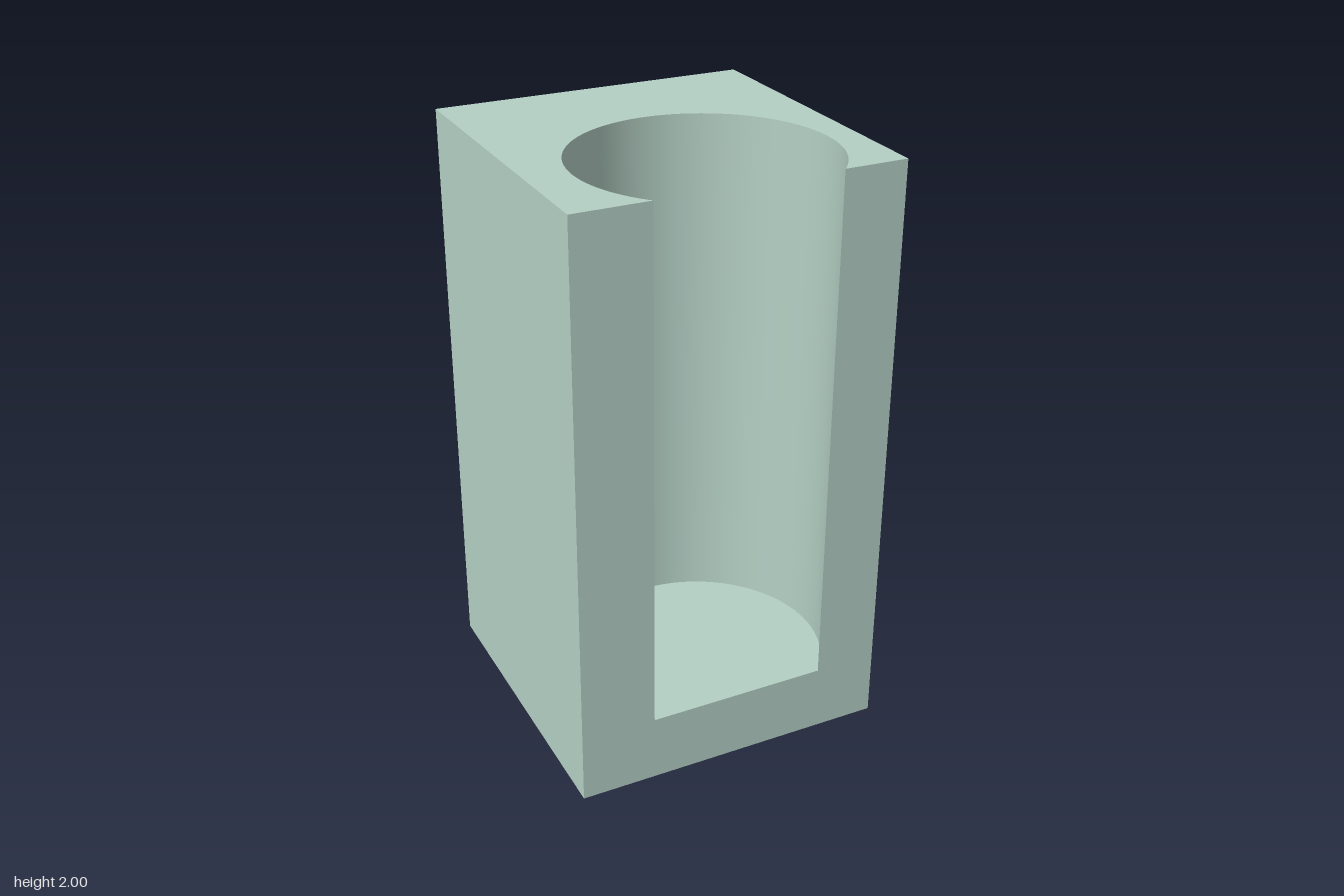
import * as THREE from 'three';
import { mergeGeometries } from 'three/addons/utils/BufferGeometryUtils.js';

const H = 0.541, TOP = 2, FLOOR = 0.23;      // block half-width, height, pocket floor
const CX = 0.02, CZ = 0.252, R = 0.421;      // round pocket axis and radius
const SEGMENTS = 96;

export function createModel() {
  const group = new THREE.Group();
  const material = new THREE.MeshStandardMaterial({ color: 0xb4d0c5 });

  // Pocket arc, from the right lip round the back to the left lip
  const start = Math.acos((H - CZ) / R);
  const sweep = 2 * Math.PI - 2 * start;
  const arc = [];
  for (let i = 0; i <= SEGMENTS; i++) {
    const a = start + (sweep * i) / SEGMENTS;
    arc.push(new THREE.Vector2(CX + R * Math.sin(a), -CZ - R * Math.cos(a)));
  }
  const xRight = arc[0].x, xLeft = arc[SEGMENTS].x;

  const v = (x, y) => new THREE.Vector2(x, y);
  const face = (points) => new THREE.ShapeGeometry(new THREE.Shape(points));
  const level = (points, y) => face(points).rotateX(-Math.PI / 2).translate(0, y, 0);
  const add = (name, geometry) => {
    const mesh = new THREE.Mesh(geometry, material);
    mesh.name = name;
    group.add(mesh);
  };

  // Block: notched top, U-shaped front, plain sides, back and underside
  const sides = [1, 2, 3].map((k) =>
    new THREE.PlaneGeometry(2 * H, TOP).translate(0, TOP / 2, H).rotateY((k * Math.PI) / 2));
  add('block', mergeGeometries([
    level([...arc, v(-H, -H), v(-H, H), v(H, H), v(H, -H)], TOP),
    face([v(-H, 0), v(H, 0), v(H, TOP), v(xRight, TOP), v(xRight, FLOOR),
      v(xLeft, FLOOR), v(xLeft, TOP), v(-H, TOP)]).translate(0, 0, H),
    new THREE.PlaneGeometry(2 * H, 2 * H).rotateX(Math.PI / 2),
    ...sides,
  ]));

  // Pocket: smooth inward-facing wall and flat floor
  add('pocketWall', new THREE.LatheGeometry([v(R, TOP), v(R, FLOOR)], SEGMENTS, start, sweep)
    .translate(CX, 0, CZ));
  add('pocketFloor', level(arc, FLOOR));

  return group;
}
